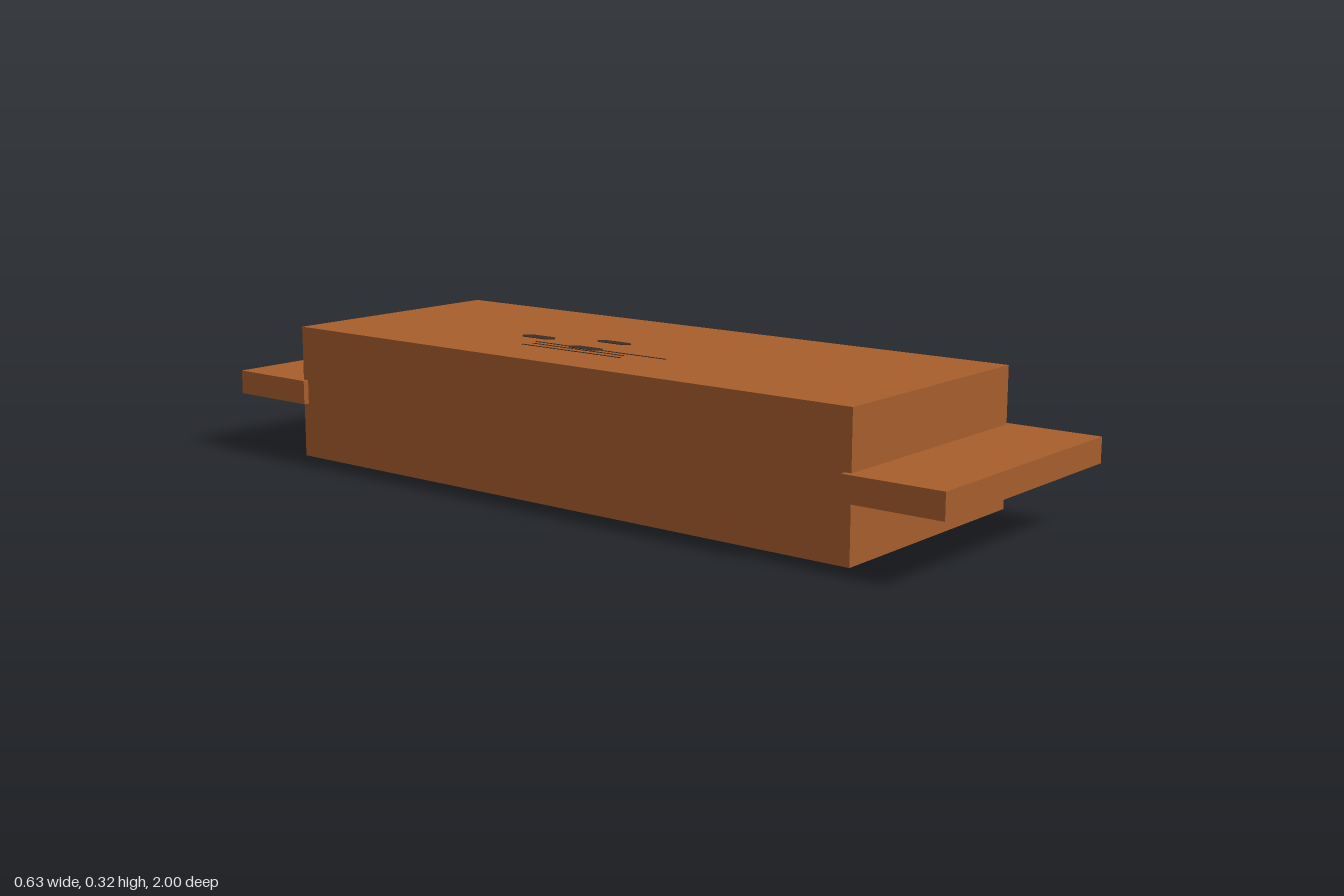
import * as THREE from 'three';

export function createModel() {
  const model = new THREE.Group();
  const wood = new THREE.MeshStandardMaterial({ color: 0xa85e2c });
  wood.name = 'warm brown';
  const dark = new THREE.MeshStandardMaterial({ color: 0x3a2d24 });
  dark.name = 'dark brown';

  const H = 0.316;
  const box = (name, parent, mat, size, pos) => {
    const mesh = new THREE.Mesh(new THREE.BoxGeometry(...size), mat);
    mesh.name = name;
    mesh.position.set(...pos);
    parent.add(mesh);
    return mesh;
  };

  // Main block
  box('body', model, wood, [0.602, H, 1.57], [0, H / 2, 0]);

  // Flat ledges at both ends, slightly wider than the block
  for (const [name, s] of [['frontLedge', 1], ['backLedge', -1]]) {
    box(name, model, wood, [0.63, 0.057, 0.23], [0, 0.1585, s * 0.885]);
  }

  // Small painted spots (x, z, half width) and fine scratches (x, z start, z end)
  const spots = [[-0.057, -0.24, 0.017], [-0.107, -0.053, 0.015], [-0.008, -0.053, 0.014]];
  const scratches = [[-0.157, -0.2, 0.09], [-0.132, -0.19, 0.08], [-0.11, -0.2, 0.18]];
  const T = 0.002;

  // Long hexagonal spot lying flat
  const spotGeometry = (w) => {
    const shape = new THREE.Shape([[-w, -0.036], [0, -0.05], [w, -0.036], [w, 0.036], [0, 0.05], [-w, 0.036]]
      .map(([x, y]) => new THREE.Vector2(x, y)));
    return new THREE.ExtrudeGeometry(shape, { depth: T, bevelEnabled: false }).rotateX(-Math.PI / 2);
  };

  // The same markings on the top and, turned over, on the underside
  for (const top of [true, false]) {
    const marks = new THREE.Group();
    marks.name = top ? 'topMarkings' : 'bottomMarkings';
    for (const [x, z, w] of spots) {
      const spot = new THREE.Mesh(spotGeometry(w), dark);
      spot.name = 'spot';
      spot.position.set(x, -T / 2, z);
      marks.add(spot);
    }
    for (const [x, z0, z1] of scratches) {
      box('scratch', marks, dark, [0.004, T, z1 - z0], [x, 0, (z0 + z1) / 2]);
    }
    marks.position.y = top ? H : 0;
    if (!top) marks.rotation.x = Math.PI;
    model.add(marks);
  }

  return model;
}
